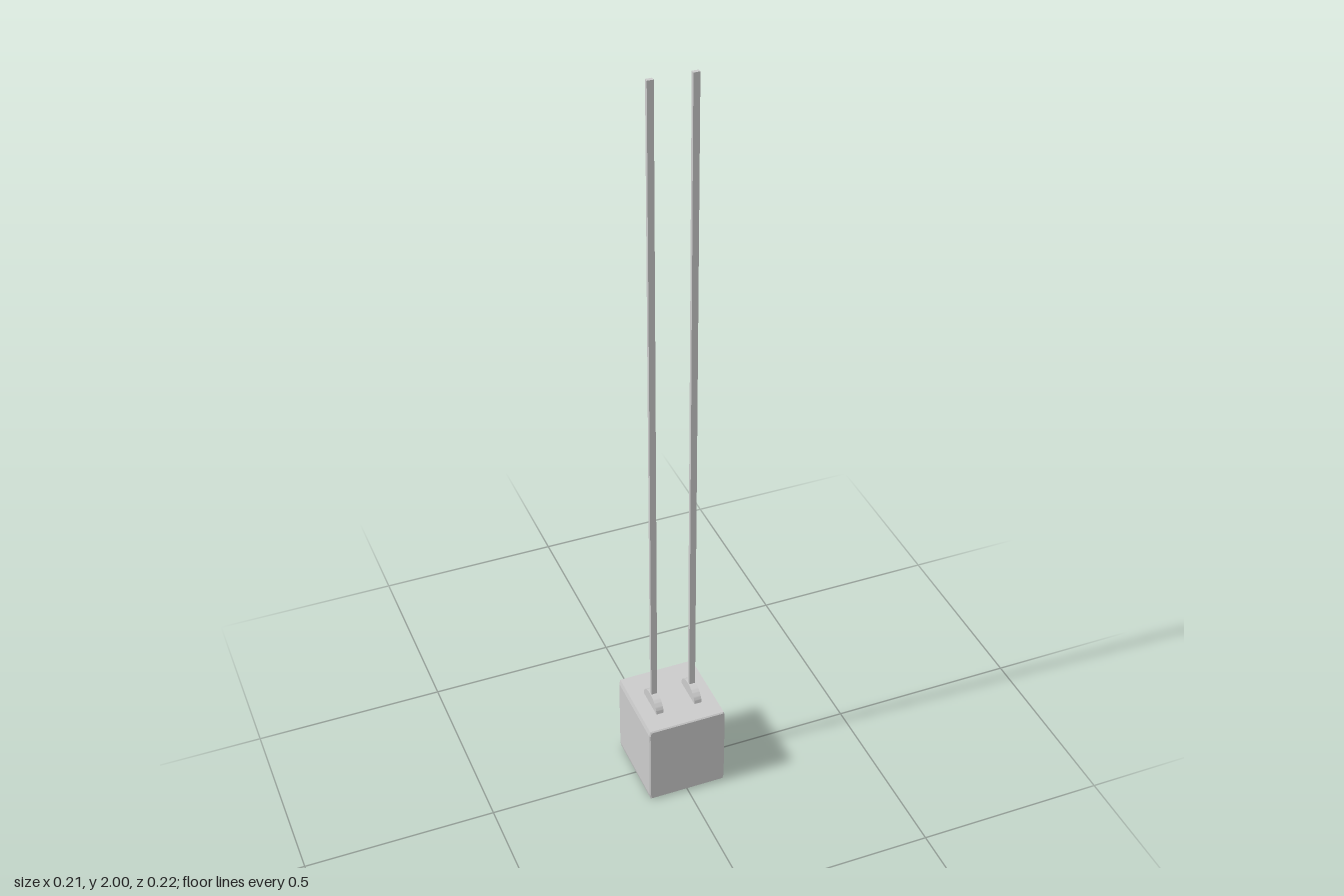
import * as THREE from 'three';
import { toCreasedNormals } from 'three/addons/utils/BufferGeometryUtils.js';

const grey = new THREE.MeshStandardMaterial({ color: 0xcccccc });

function add(parent, name, geometry, x = 0, y = 0, z = 0) {
  const mesh = new THREE.Mesh(geometry, grey);
  mesh.name = name;
  mesh.position.set(x, y, z);
  parent.add(mesh);
  return mesh;
}

// Rectangle with small chamfered corners
function chamferedRect(w, h, cx, cy) {
  const a = w / 2, b = h / 2;
  return new THREE.Shape([
    [-a + cx, -b], [a - cx, -b], [a, -b + cy], [a, b - cy],
    [a - cx, b], [-a + cx, b], [-a, b - cy], [-a, -b + cy],
  ].map(([x, y]) => new THREE.Vector2(x, y)));
}

export function createModel() {
  const model = new THREE.Group();
  const W = 0.21, H = 0.237, D = 0.218, wall = 0.018;

  // Hollow housing, open at the back
  const housing = new THREE.Group();
  housing.name = 'housing';
  model.add(housing);
  const outline = chamferedRect(W, H, 0.003, 0.014);
  const hw = W / 2 - wall, hh = H / 2 - wall;
  outline.holes.push(new THREE.Path([
    new THREE.Vector2(-hw, -hh), new THREE.Vector2(-hw, hh),
    new THREE.Vector2(hw, hh), new THREE.Vector2(hw, -hh),
  ]));
  const shell = new THREE.ExtrudeGeometry(outline, { depth: D - wall, bevelEnabled: false });
  add(housing, 'shell', shell, 0, H / 2, -D / 2);

  // Front panel, its edge slightly chamfered
  const panel = new THREE.ExtrudeGeometry(chamferedRect(W, H, 0.003, 0.014), {
    depth: wall - 0.003, bevelEnabled: true, bevelSegments: 1,
    bevelThickness: 0.003, bevelSize: 0.003, bevelOffset: -0.003,
  });
  add(housing, 'frontPanel', panel, 0, H / 2, D / 2 - wall);

  // Domed lug profile, drawn in z and y
  const lugShape = new THREE.Shape();
  lugShape.moveTo(0.045, 0);
  lugShape.absellipse(0, 0, 0.045, 0.036, 0, Math.PI, false);
  lugShape.closePath();
  const lug = toCreasedNormals(
    new THREE.ExtrudeGeometry(lugShape, { depth: 0.02, bevelEnabled: false, curveSegments: 24 })
      .translate(0, 0, -0.01).rotateY(-Math.PI / 2), 0.6);

  // A lug and a long suspension bar on each side
  const barBase = H - 0.005;
  for (const [side, s] of [['left', 1], ['right', -1]]) {
    const hanger = new THREE.Group();
    hanger.name = side + 'Hanger';
    hanger.position.set(s * 0.053, 0, 0.006);
    model.add(hanger);
    add(hanger, 'lug', lug, 0, H - 0.001, 0);
    add(hanger, 'bar', new THREE.BoxGeometry(0.016, 2 - barBase, 0.01), 0, (2 + barBase) / 2, 0);
  }
  return model;
}
